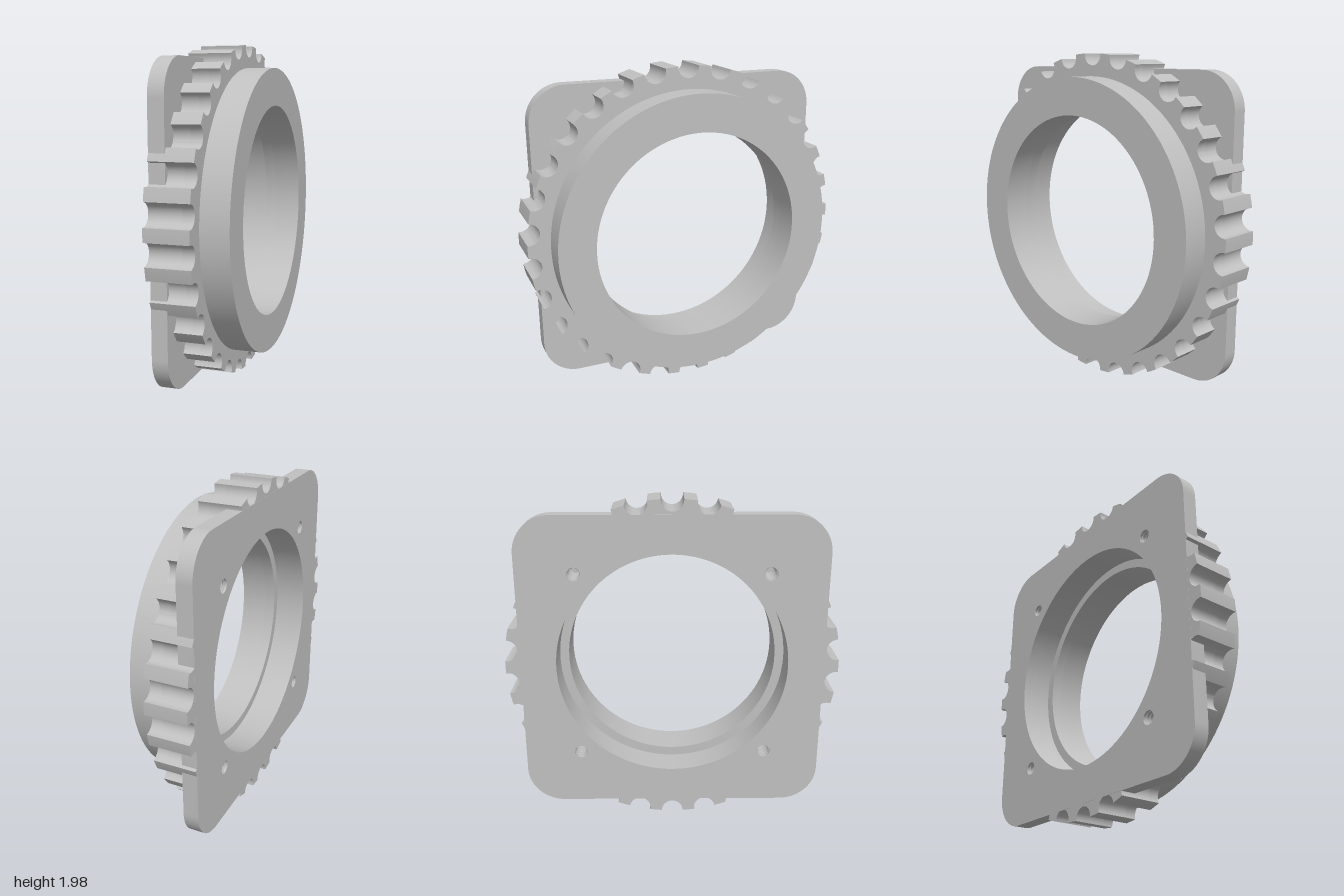
import * as THREE from 'three';
import { toCreasedNormals } from 'three/addons/utils/BufferGeometryUtils.js';

const RIM = 0.991, BACK_BORE = 0.69, FRONT_BORE = 0.635;
const LEDGE = 0.19, GEAR_TOP = 0.256, COLLAR_TOP = 0.42;
const SCREW = 0.565, SCREW_R = 0.04;

// Round outline made of points
function circle(r, x = 0, y = 0, n = 96) {
  return Array.from({ length: n }, (_, i) => {
    const a = (i / n) * Math.PI * 2;
    return new THREE.Vector2(x + r * Math.cos(a), y + r * Math.sin(a));
  });
}

const screwSpots = [[1, 1], [-1, 1], [-1, -1], [1, -1]].map(([x, y]) => [x * SCREW, y * SCREW]);

// Rim with round grooves between short teeth
function gearOutline() {
  const s = new THREE.Shape(), count = 30, pitch = (Math.PI * 2) / count;
  const g = 0.065, centre = 0.985, half = Math.atan(g / centre);
  for (let i = 0; i < count; i++) {
    const a = (i + 0.5) * pitch;
    s.absarc(centre * Math.cos(a), centre * Math.sin(a), g, a - Math.PI / 2, a - Math.PI * 1.5, true);
    s.absarc(0, 0, RIM, a + half, a + pitch - half, false);
  }
  return s.getPoints(10);
}

// Square with rounded corners
function plateOutline() {
  const s = new THREE.Shape(), h = 0.903, r = 0.22;
  [[1, 1], [-1, 1], [-1, -1], [1, -1]].forEach(([x, y], i) =>
    s.absarc(x * (h - r), y * (h - r), r, i * Math.PI / 2, (i + 1) * Math.PI / 2, false));
  return s.getPoints(16);
}

// Flat slab from z0 to z1 with a bore and optional screw holes
function slab(outline, bore, screws, z0, z1) {
  const shape = new THREE.Shape(outline);
  shape.holes.push(new THREE.Path(circle(bore)));
  if (screws) for (const [x, y] of screwSpots) shape.holes.push(new THREE.Path(circle(SCREW_R, x, y, 20)));
  const geo = new THREE.ExtrudeGeometry(shape, { depth: z1 - z0, bevelEnabled: false });
  geo.translate(0, 0, z0);
  return toCreasedNormals(geo, 0.5);
}

export function createModel() {
  const metal = new THREE.MeshStandardMaterial({ color: 0xc0c0c0 });
  metal.name = 'grey metal';
  const model = new THREE.Group();
  model.name = 'flangedRing';
  const add = (name, geo) => {
    const mesh = new THREE.Mesh(geo, metal);
    mesh.name = name;
    model.add(mesh);
    return mesh;
  };

  add('mountingPlate', slab(plateOutline(), BACK_BORE, true, 0, 0.092));
  const gear = gearOutline();
  add('toothedRingBack', slab(gear, BACK_BORE, true, 0.001, LEDGE));
  add('toothedRingFront', slab(gear, FRONT_BORE, false, LEDGE, GEAR_TOP));
  add('collar', slab(circle(0.857, 0, 0, 128), FRONT_BORE, false, GEAR_TOP, COLLAR_TOP));

  // Ridges inside the blind screw holes
  const ridge = new THREE.TorusGeometry(SCREW_R, 0.007, 6, 20);
  for (const [x, y] of screwSpots)
    for (let i = 0; i < 7; i++) add('screwThread', ridge).position.set(x, y, 0.02 + i * 0.024);

  // Bore axis points along +x, turned slightly towards the front
  model.rotation.y = Math.PI / 2 - 0.0937;
  model.position.set(-0.2075, 0.99, -0.0125);
  const root = new THREE.Group();
  root.name = 'model';
  root.add(model);
  return root;
}
